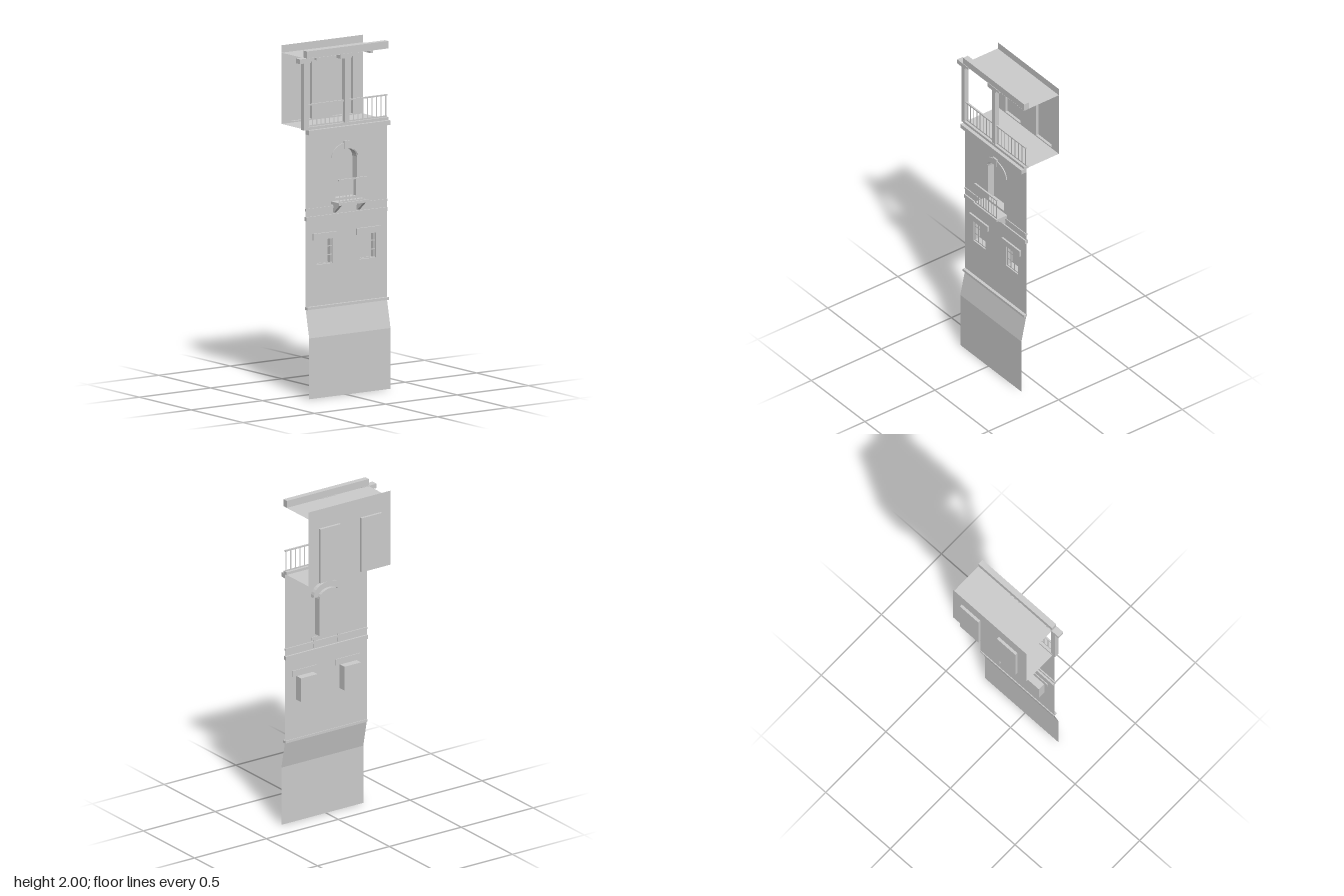
import * as THREE from 'three';

const grey = new THREE.MeshStandardMaterial({ color: 0xcccccc, side: THREE.DoubleSide });
const X0 = -0.26, X1 = 0.31, WALL = 0.085, BACK = -0.147;

export function createModel() {
  const root = new THREE.Group();

  const add = (name, geo, parent = root) => {
    const mesh = new THREE.Mesh(geo, grey);
    mesh.name = name;
    parent.add(mesh);
    return mesh;
  };
  // box given by its limits on each axis
  const box = (name, x0, x1, y0, y1, z0, z1, parent) =>
    add(name, new THREE.BoxGeometry(x1 - x0, y1 - y0, z1 - z0), parent)
      .position.set((x0 + x1) / 2, (y0 + y1) / 2, (z0 + z1) / 2);

  const group = (name) => {
    const g = new THREE.Group();
    g.name = name;
    root.add(g);
    return g;
  };

  // outline of an opening, with an optional curved head of height rise
  const outline = (x0, x1, y0, y1, rise = 0) => {
    const pts = [new THREE.Vector2(x0, y0), new THREE.Vector2(x1, y0)];
    if (!rise) pts.push(new THREE.Vector2(x1, y1), new THREE.Vector2(x0, y1));
    else for (let i = 0; i <= 12; i++) {
      const a = Math.PI * i / 12;
      pts.push(new THREE.Vector2((x0 + x1) / 2 + Math.cos(a) * (x1 - x0) / 2,
        y1 - rise + Math.sin(a) * rise));
    }
    return pts;
  };

  // flat wall at depth z with openings
  const wall = (name, y0, y1, z, openings) => {
    const shape = new THREE.Shape(outline(X0, X1, y0, y1));
    openings.forEach((o) => shape.holes.push(new THREE.Path(o)));
    add(name, new THREE.ShapeGeometry(shape).translate(0, 0, z));
  };

  // recess behind an opening: reveal plus closed back
  const niche = (name, pts, z0, z1) => {
    const g = group(name), pos = [];
    pts.forEach((p, i) => {
      const q = pts[(i + 1) % pts.length];
      pos.push(p.x, p.y, z0, p.x, p.y, z1, q.x, q.y, z1,
        p.x, p.y, z0, q.x, q.y, z1, q.x, q.y, z0);
    });
    const reveal = new THREE.BufferGeometry();
    reveal.setAttribute('position', new THREE.Float32BufferAttribute(pos, 3));
    reveal.computeVertexNormals();
    add('reveal', reveal, g);
    add('panel', new THREE.ShapeGeometry(new THREE.Shape(pts)).translate(0, 0, z1), g);
  };

  // flat strip bars facing the front
  const strip = (name, x0, x1, y0, y1, z, parent) =>
    add(name, new THREE.PlaneGeometry(x1 - x0, y1 - y0), parent)
      .position.set((x0 + x1) / 2, (y0 + y1) / 2, z);

  const railing = (name, x0, x1, y0, y1, z, count) => {
    const g = group(name);
    box('handrail', x0, x1, y1 - 0.008, y1, z - 0.005, z + 0.005, g);
    strip('bottomRail', x0, x1, y0, y0 + 0.008, z, g);
    for (let i = 0; i < count; i++) {
      const x = x0 + 0.008 + (x1 - x0 - 0.016) * i / (count - 1);
      strip('baluster', x - 0.004, x + 0.004, y0, y1, z, g);
    }
  };

  // street wall: upright base, then a slope back to the upper wall
  const base = new THREE.PlaneGeometry(X1 - X0, 0.35);
  add('baseWall', base).position.set((X0 + X1) / 2, 0.175, 0.12);
  const slope = new THREE.PlaneGeometry(X1 - X0, 0.165);
  const p = slope.attributes.position;
  for (let i = 0; i < p.count; i++) {
    const top = p.getY(i) > 0;
    p.setXYZ(i, p.getX(i) + (X0 + X1) / 2, top ? 0.515 : 0.35, top ? WALL : 0.12);
  }
  slope.computeVertexNormals();
  add('slopedWall', slope);

  const windows = [[-0.185, -0.07], [0.118, 0.232]];
  const windowOutlines = windows.map(([a, b]) => outline(a, b, 0.76, 0.905));
  const door = outline(-0.05, 0.1, 1.13, 1.41, 0.055);
  wall('upperWall', 0.515, 1.53, WALL, [...windowOutlines, door]);

  // barred windows with lintels
  windows.forEach(([a, b], k) => {
    niche('windowRecess', windowOutlines[k], WALL, 0.037);
    const g = group('windowGrille');
    for (let i = 0; i < 4; i++) {
      const x = a + 0.006 + (b - a - 0.012) * i / 3;
      strip('uprightBar', x - 0.004, x + 0.004, 0.76, 0.905, 0.078, g);
    }
    [0.764, 0.81, 0.86].forEach((y) => strip('crossBar', a, b, y - 0.003, y + 0.003, 0.077, g));
    box('windowLintel', a - 0.026, b + 0.03, 0.905, 0.942, 0.08, 0.096);
  });

  // arched doorway with hood and keystone
  niche('archedDoor', door, WALL, 0.04);
  const hood = new THREE.Shape();
  for (let i = 0; i <= 16; i++) {
    const a = Math.PI * i / 16;
    hood[i ? 'lineTo' : 'moveTo'](0.025 + Math.cos(a) * 0.105, 1.365 + Math.sin(a) * 0.08);
  }
  for (let i = 16; i >= 0; i--) {
    const a = Math.PI * i / 16;
    hood.lineTo(0.025 + Math.cos(a) * 0.075, 1.365 + Math.sin(a) * 0.045);
  }
  add('doorHood', new THREE.ExtrudeGeometry(hood, { depth: 0.033, bevelEnabled: false }).translate(0, 0, 0.058));
  box('keystone', 0.005, 0.045, 1.41, 1.455, 0.06, 0.094);

  // small balcony on wedge brackets
  box('balconySlab', -0.083, 0.13, 1.1, 1.116, 0.08, 0.162);
  const wedge = new THREE.Shape([[0.08, 1.1], [0.152, 1.1], [0.092, 1.05], [0.08, 1.05]]
    .map(([z, y]) => new THREE.Vector2(-z, y)));
  [-0.06, 0.107].forEach((x) => {
    const geo = new THREE.ExtrudeGeometry(wedge, { depth: 0.018, bevelEnabled: false });
    add('balconyBracket', geo.rotateY(Math.PI / 2).translate(x - 0.009, 0, 0));
  });
  railing('balconyRailing', -0.08, 0.127, 1.116, 1.25, 0.153, 9);

  // horizontal mouldings across the front
  [[0.51, 0.525, 0.08, 0.103], [1.02, 1.043, 0.074, 0.093], [1.077, 1.09, 0.078, 0.09],
    [1.52, 1.546, 0.085, 0.12], [1.544, 1.562, 0.068, 0.1]]
    .forEach(([y0, y1, z0, z1]) => box('moulding', X0, X1, y0, y1, z0, z1));

  // roofed gallery: floor, back wall with doors, roof sheet
  const sheet = (name, y) => add(name, new THREE.PlaneGeometry(X1 - X0, 0.1 - BACK).rotateX(-Math.PI / 2))
    .position.set((X0 + X1) / 2, y, (0.1 + BACK) / 2);
  sheet('galleryFloor', 1.547);
  sheet('galleryRoof', 1.957);
  const doors = [[-0.19, -0.047], [0.097, 0.24]].map(([a, b]) => outline(a, b, 1.555, 1.885));
  wall('galleryBackWall', 1.547, 2, BACK, doors);
  doors.forEach((d) => niche('galleryDoor', d, BACK, -0.163));

  // timber frame of the gallery
  box('frontBeam', X0, X1, 1.958, 2, 0.066, 0.1);
  [[-0.28, -0.249], [0.006, 0.036]].forEach(([a, b]) => box('post', a, b, 1.546, 1.94, 0.07, 0.098));
  [[-0.312, -0.21], [-0.027, 0.077]].forEach(([a, b]) => {
    box('postCapital', a, b, 1.945, 1.96, 0.063, 0.103);
    box('postCapitalLower', a, b - 0.025, 1.933, 1.945, 0.063, 0.103);
  });
  [-0.165, 0.215].forEach((x) => box('rafter', x - 0.009, x + 0.009, 1.936, 1.957, BACK, 0.07));
  railing('galleryRailingRight', -0.249, 0.006, 1.562, 1.692, 0.085, 9);
  railing('galleryRailingLeft', 0.036, 0.31, 1.562, 1.692, 0.085, 9);

  return root;
}
